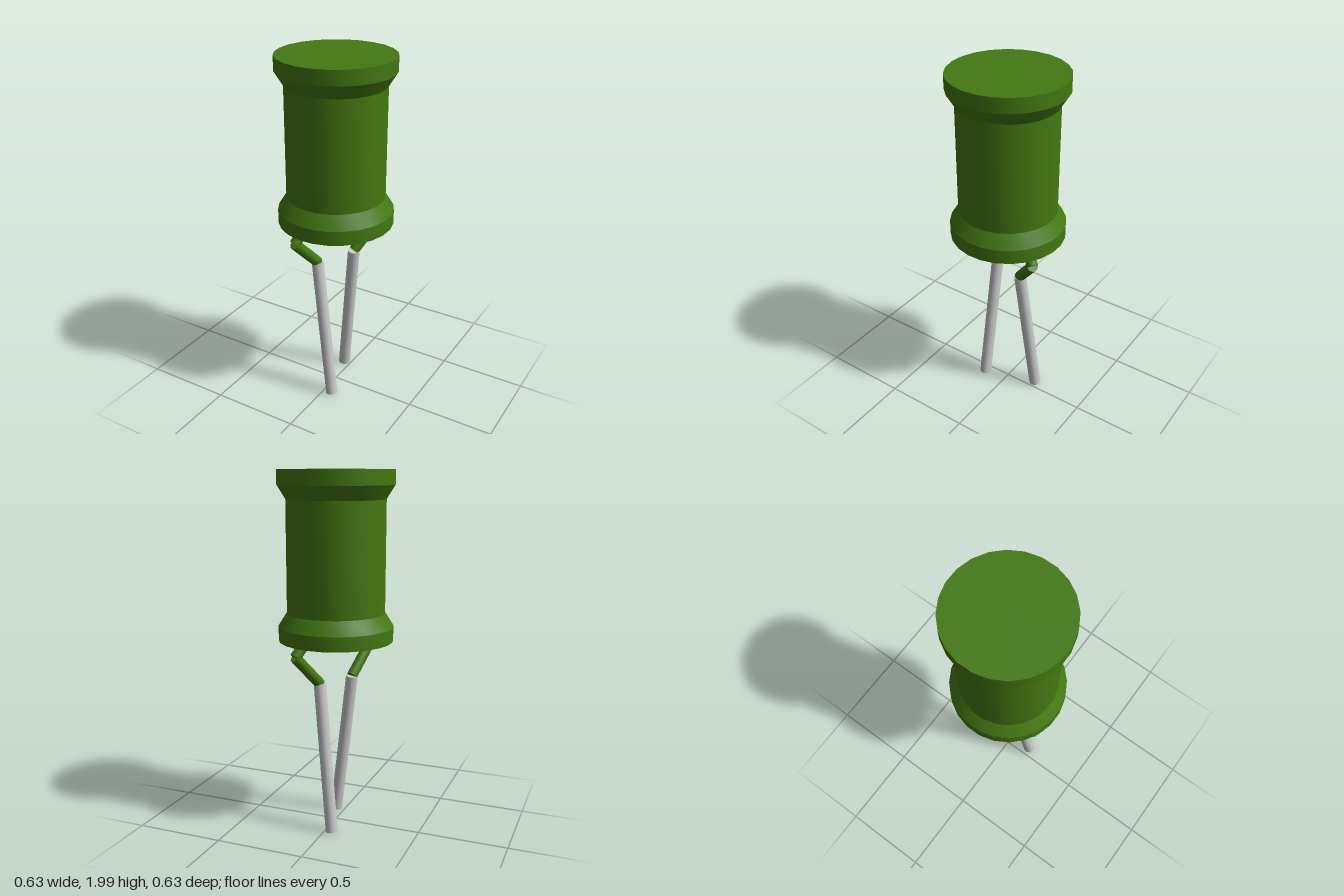
import * as THREE from 'three';
import { toCreasedNormals } from 'three/addons/utils/BufferGeometryUtils.js';

const green = new THREE.MeshStandardMaterial({ color: 0x437811 });
const grey = new THREE.MeshStandardMaterial({ color: 0xcccccc });

// Round rod between two points
function rod(name, from, to, radius, material) {
  const a = new THREE.Vector3(...from);
  const b = new THREE.Vector3(...to);
  const dir = b.clone().sub(a);
  const mesh = new THREE.Mesh(new THREE.CylinderGeometry(radius, radius, dir.length(), 16), material);
  mesh.position.copy(a).add(b).multiplyScalar(0.5);
  mesh.quaternion.setFromUnitVectors(new THREE.Vector3(0, 1, 0), dir.normalize());
  mesh.name = name;
  return mesh;
}

// Bent lead: coated stub, coated bend, bare pin
function lead(name, root, elbow, knee, tip) {
  const group = new THREE.Group();
  group.name = name;
  group.add(
    rod('coatedStub', elbow, root, 0.03, green),
    rod('coatedBend', knee, elbow, 0.03, green),
    rod('barePin', tip, knee, 0.034, grey)
  );
  return group;
}

export function createModel() {
  const model = new THREE.Group();
  model.name = 'radialComponent';

  // Spool-shaped body with a flared rim at both ends
  const profile = [
    [0, 1.08], [0.317, 1.08], [0.317, 1.16], [0.27, 1.235],
    [0.27, 1.845], [0.317, 1.92], [0.317, 2], [0, 2]
  ].map(([r, y]) => new THREE.Vector2(r, y));
  const lathe = new THREE.LatheGeometry(profile, 24, Math.PI / 24);
  const body = new THREE.Mesh(toCreasedNormals(lathe, Math.PI / 7), green);
  body.name = 'body';
  model.add(body);

  // Leads, crossing when seen from the front
  model.add(
    lead('frontLead', [-0.075, 1.11, 0.175], [-0.105, 1.01, 0.255], [-0.055, 0.85, 0.108], [0.052, 0.01, 0.137]),
    lead('backLead', [0.09, 1.11, -0.18], [0.135, 1.02, -0.25], [0.05, 0.85, -0.115], [-0.042, 0.01, -0.172])
  );
  return model;
}
